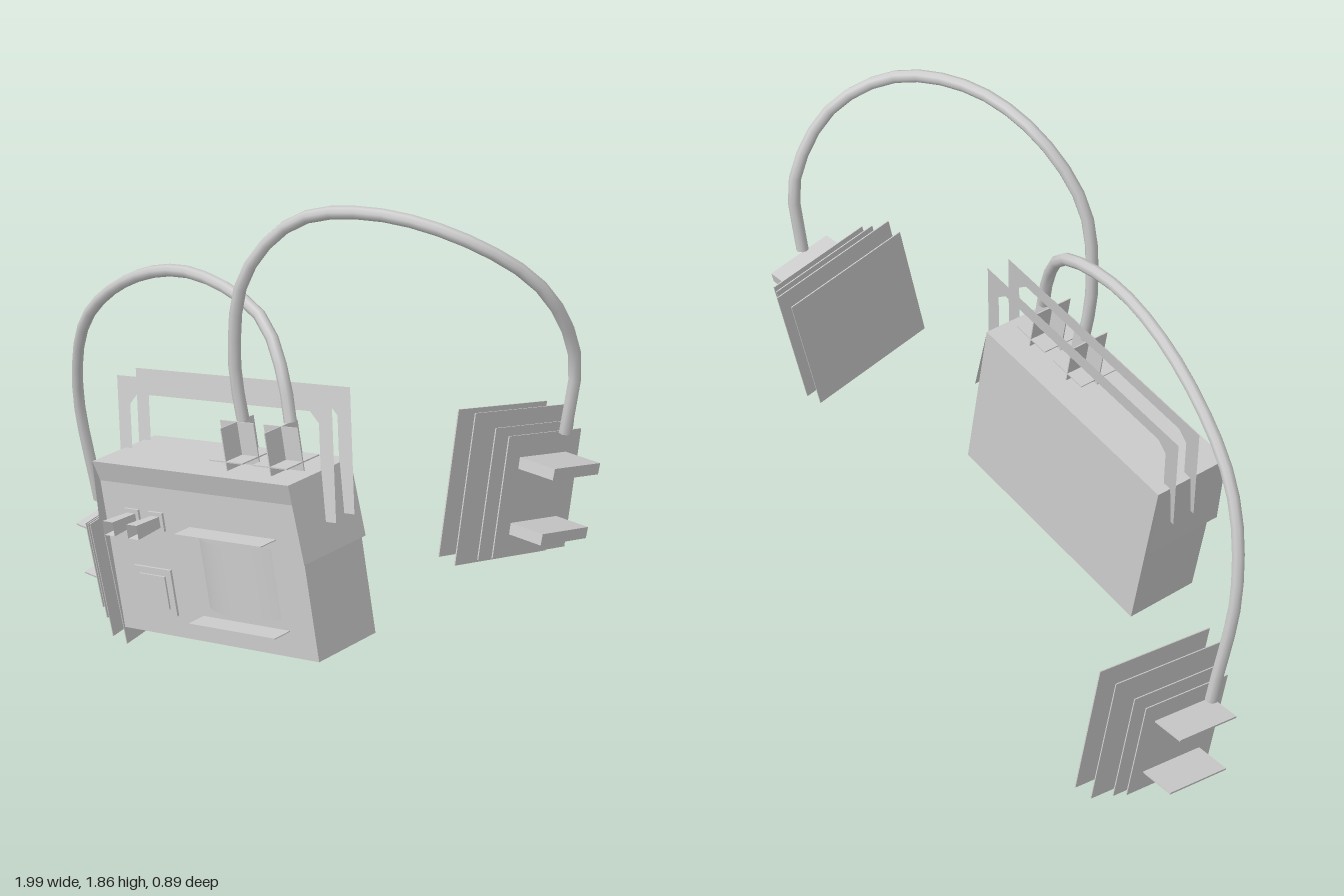
import * as THREE from 'three';

const mat = new THREE.MeshStandardMaterial({ color: 0xcccccc, side: THREE.DoubleSide });

function add(parent, name, geo, x = 0, y = 0, z = 0) {
  const m = new THREE.Mesh(geo, mat);
  m.name = name;
  m.position.set(x, y, z);
  parent.add(m);
  return m;
}
const box = (w, h, d) => new THREE.BoxGeometry(w, h, d);

// thin sheet from four corners
function quad(a, b, c, d) {
  const g = new THREE.BufferGeometry();
  g.setAttribute('position', new THREE.Float32BufferAttribute([...a, ...b, ...c, ...d], 3));
  g.setIndex([0, 1, 2, 0, 2, 3]);
  g.computeVertexNormals();
  return g;
}

// flat U-shaped carrying handle with chamfered corners in the opening
function handleGeometry() {
  const w = 0.465, i = 0.41, top = 0.517, low = 0.127, t = top - 0.055, c = 0.035;
  const pts = [[-w, low], [-w, top], [w, top], [w, low], [i, low], [i, t - c],
    [i - c, t], [-i + c, t], [-i, t - c], [-i, low]];
  const g = new THREE.ShapeGeometry(new THREE.Shape(pts.map(p => new THREE.Vector2(...p))));
  g.translate(0, -top, 0);
  return g;
}

function buildUnit() {
  const unit = new THREE.Group();
  unit.name = 'mainUnit';
  unit.position.set(-0.027, 0.655, 0);
  unit.rotation.z = 0.194;
  const W = 0.4265, H = 0.286, F = 0.332;

  add(unit, 'case', box(2 * W, 2 * H, F - 0.067), 0, 0, (F + 0.067) / 2);

  // overhanging rim at the front and flared flaps on the sides
  add(unit, 'frontRim', quad([-W, H, 0.352], [W, H, 0.352], [W, H - 0.07, F], [-W, H - 0.07, F]));
  add(unit, 'rimTop', quad([-W, H, F], [W, H, F], [W, H, 0.352], [-W, H, 0.352]));
  for (const s of [-1, 1]) {
    add(unit, 'sideFlap', quad([s * W, H, 0.068], [s * W, H, 0.352],
      [s * (W + 0.018), H - 0.25, 0.352], [s * (W + 0.018), H - 0.25, 0.068]));
  }

  // pair of leaning handle frames
  for (const z of [0.08, 0.165]) {
    add(unit, 'handleFrame', handleGeometry(), 0.014, 0.517, z).rotation.x = -0.155;
  }

  // curved screen between two shelves
  const R = 0.31, half = 0.16, ang = Math.asin(half / R);
  const screen = new THREE.CylinderGeometry(R, R, 0.232, 16, 1, true, -ang, 2 * ang);
  add(unit, 'screen', screen, 0.14, -0.05, 0.373 - R);
  for (const s of [-1, 1]) {
    add(unit, 'screenShelf', box(0.37, 0.003, 0.07), 0.14, -0.05 + s * 0.148, 0.37);
  }

  // large stepped push button
  add(unit, 'buttonFrame', box(0.165, 0.155, 0.008), -0.244, -0.135, F + 0.004);
  add(unit, 'buttonCap', box(0.115, 0.11, 0.014), -0.244, -0.135, F + 0.007);

  // two small knobs, square and hollow
  for (const u of [-0.298, -0.19]) {
    add(unit, 'knobBase', box(0.064, 0.062, 0.008), u, 0.103, F + 0.004);
    const stem = new THREE.CylinderGeometry(0.033, 0.025, 0.11, 4, 1, true).toNonIndexed();
    stem.rotateY(Math.PI / 4);
    stem.rotateX(Math.PI / 2);
    stem.computeVertexNormals();
    add(unit, 'knob', stem, u, 0.103, F + 0.058);
  }

  // cable plugs made of crossed plates
  for (const u of [0.118, 0.303]) {
    const plug = new THREE.Group();
    plug.name = 'plug';
    plug.position.set(u, H + 0.068, 0.22);
    add(plug, 'frontPlate', box(0.142, 0.136, 0.004));
    add(plug, 'sidePlate', box(0.004, 0.136, 0.148));
    add(plug, 'collarPlate', box(0.142, 0.004, 0.148), 0, -0.04, 0);
    unit.add(plug);
  }
  return unit;
}

// stacked plates with two grips on the outer side
function buildPaddle({ name, side, center, turn, plates, gripThickness }) {
  const g = new THREE.Group();
  g.name = name;
  g.position.set(0, center[0], center[1]);
  const spin = new THREE.Group();
  spin.rotation.x = turn;
  g.add(spin);
  for (const [x, size] of plates) {
    add(spin, 'paddlePlate', box(0.004, size, size), side * x).rotation.z = 0.05;
  }
  for (const s of [-1, 1]) {
    add(spin, 'paddleGrip', box(0.13, gripThickness, 0.235), side * 0.93, s * 0.1, 0);
  }
  return g;
}

function cable(points) {
  const curve = new THREE.CatmullRomCurve3(points.map(p => new THREE.Vector3(...p)));
  return new THREE.TubeGeometry(curve, 24, 0.02, 8);
}

export function createModel() {
  const model = new THREE.Group();
  model.name = 'defibrillator';
  model.add(buildUnit());

  model.add(buildPaddle({
    name: 'leftPaddle', side: 1, center: [0.982, -0.17], turn: -0.238, gripThickness: 0.035,
    plates: [[0.705, 0.45], [0.772, 0.463], [0.83, 0.4], [0.87, 0.37]],
  }));
  model.add(buildPaddle({
    name: 'rightPaddle', side: -1, center: [0.265, -0.17], turn: 0.164, gripThickness: 0.006,
    plates: [[0.715, 0.457], [0.785, 0.45], [0.84, 0.38], [0.875, 0.34]],
  }));

  // cables from the plugs to the paddles
  add(model, 'leftCable', cable([[0.024, 1.1, 0.21], [0, 1.28, 0.22], [0.04, 1.57, 0.22],
    [0.2, 1.77, 0.17], [0.47, 1.84, 0.12], [0.75, 1.79, 0.02], [0.9, 1.65, -0.12],
    [0.94, 1.42, -0.235], [0.917, 1.17, -0.235]]));
  add(model, 'rightCable', cable([[0.21, 1.14, 0.2], [0.16, 1.28, 0.18], [0.035, 1.42, 0.14],
    [-0.286, 1.473, 0.1], [-0.6, 1.37, 0.06], [-0.87, 1.144, 0.01], [-0.975, 0.85, -0.045],
    [-0.955, 0.43, -0.11]]));
  return model;
}
